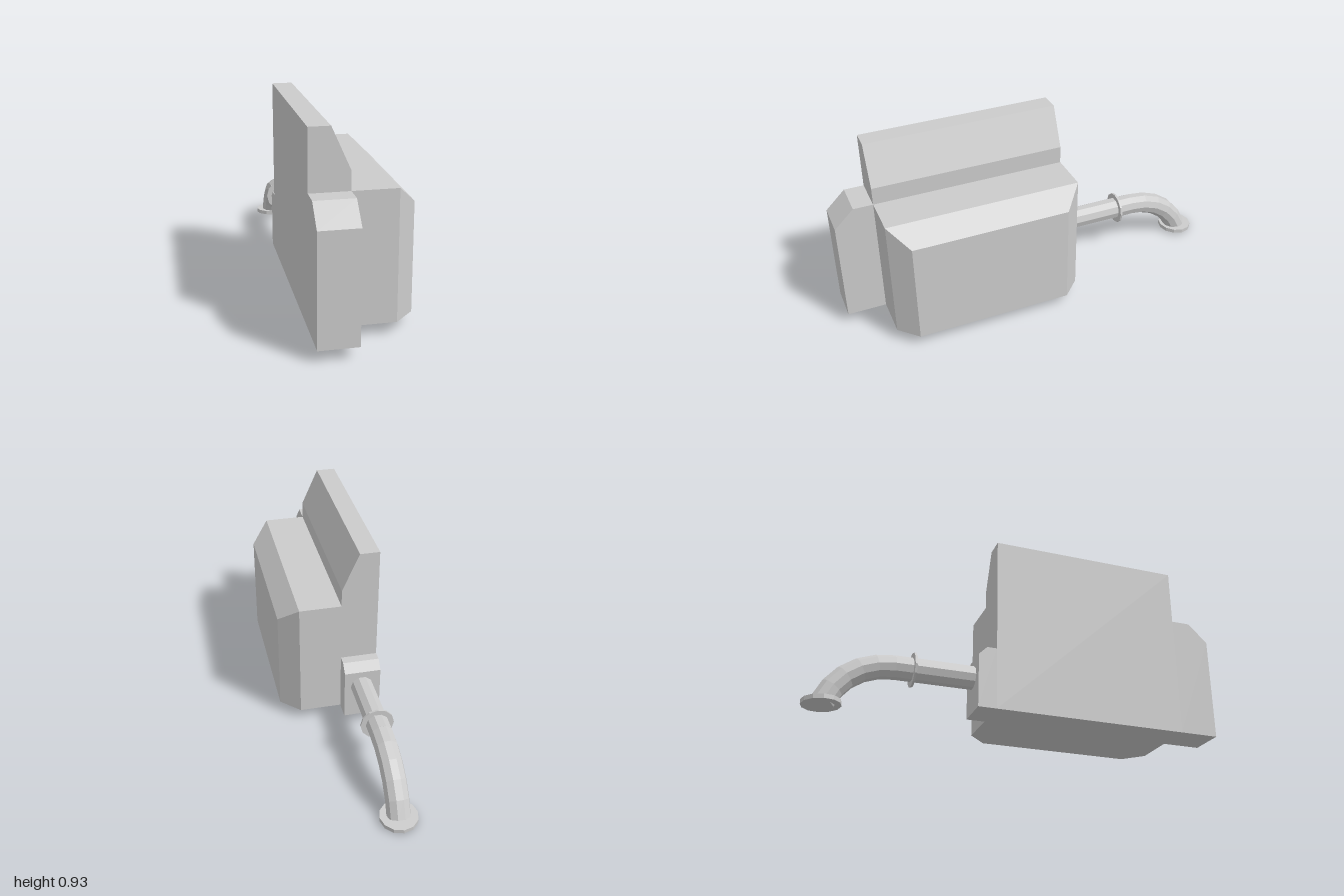
import * as THREE from 'three';

const grey = new THREE.MeshStandardMaterial({ color: 0xcccccc, flatShading: true });
const PIPE_X = -0.147, BASE = 0.055, BACK = -0.14, FRONT = 0.81;
const LEFT = -0.06, RIGHT = -0.24;

function extrude(points, depth) {
  const shape = new THREE.Shape(points.map(([x, y]) => new THREE.Vector2(x, y)));
  return new THREE.ExtrudeGeometry(shape, { depth, bevelEnabled: false });
}

// Outline given as [z, y], extruded across the thickness of the spine
function extrudeAcross(points) {
  return extrude(points, LEFT - RIGHT).rotateY(-Math.PI / 2).translate(LEFT, 0, 0);
}

// Box whose outer (+x) section tapers in at the top, front and back
function taperedHousing() {
  const g = new THREE.BoxGeometry(2, 1, 1, 2, 1, 1);
  const p = g.attributes.position;
  for (let i = 0; i < p.count; i++) {
    const column = Math.round(p.getX(i)) + 1;
    const inset = column === 2 ? 0.09 : 0;
    p.setXYZ(i,
      [LEFT, 0.146, 0.237][column],
      p.getY(i) > 0 ? 0.657 - inset : BASE,
      p.getZ(i) > 0 ? FRONT - inset : BACK + inset);
  }
  g.computeVertexNormals();
  return g;
}

export function createModel() {
  const group = new THREE.Group();
  const add = (name, geometry) => {
    const mesh = new THREE.Mesh(geometry, grey);
    mesh.name = name;
    group.add(mesh);
    return mesh;
  };

  // Tall spine with a sloped upper edge
  add('spine', extrude(
    [[RIGHT, BASE], [LEFT, BASE], [LEFT, 0.743], [-0.144, 0.932], [RIGHT, 0.932]],
    FRONT - BACK)).position.z = BACK;

  // Chamfered blocks at both ends of the spine
  add('frontBlock', extrudeAcross(
    [[FRONT, BASE], [1, BASE], [1, 0.565], [0.905, 0.657], [FRONT, 0.657]]));
  add('rearBlock', extrudeAcross(
    [[-0.228, BASE], [BACK, BASE], [BACK, 0.355], [-0.188, 0.355], [-0.228, 0.315]]));

  add('sideHousing', taperedHousing());

  // Pipe: straight run, then a bend down to the foot
  const at = (y, z) => new THREE.Vector3(PIPE_X, y, z);
  const straight = new THREE.LineCurve3(at(0.23, -0.2), at(0.228, -0.6));
  const bend = new THREE.CubicBezierCurve3(
    at(0.228, -0.6), at(0.226, -0.73), at(0.16, -0.85), at(0.018, -0.907));
  add('pipeStraight', new THREE.TubeGeometry(straight, 1, 0.056, 10));
  add('pipeBend', new THREE.TubeGeometry(bend, 5, 0.056, 10));

  // Thin collar around the pipe and flange at its foot
  const collar = add('pipeCollar', new THREE.CylinderGeometry(0.081, 0.081, 0.01, 12));
  collar.rotation.x = Math.PI / 2;
  collar.position.copy(at(0.228, -0.515));
  const flange = add('pipeFlange', new THREE.CylinderGeometry(0.089, 0.089, 0.02, 12));
  flange.rotation.x = -0.05;
  flange.position.copy(at(0.015, -0.91));

  return group;
}
